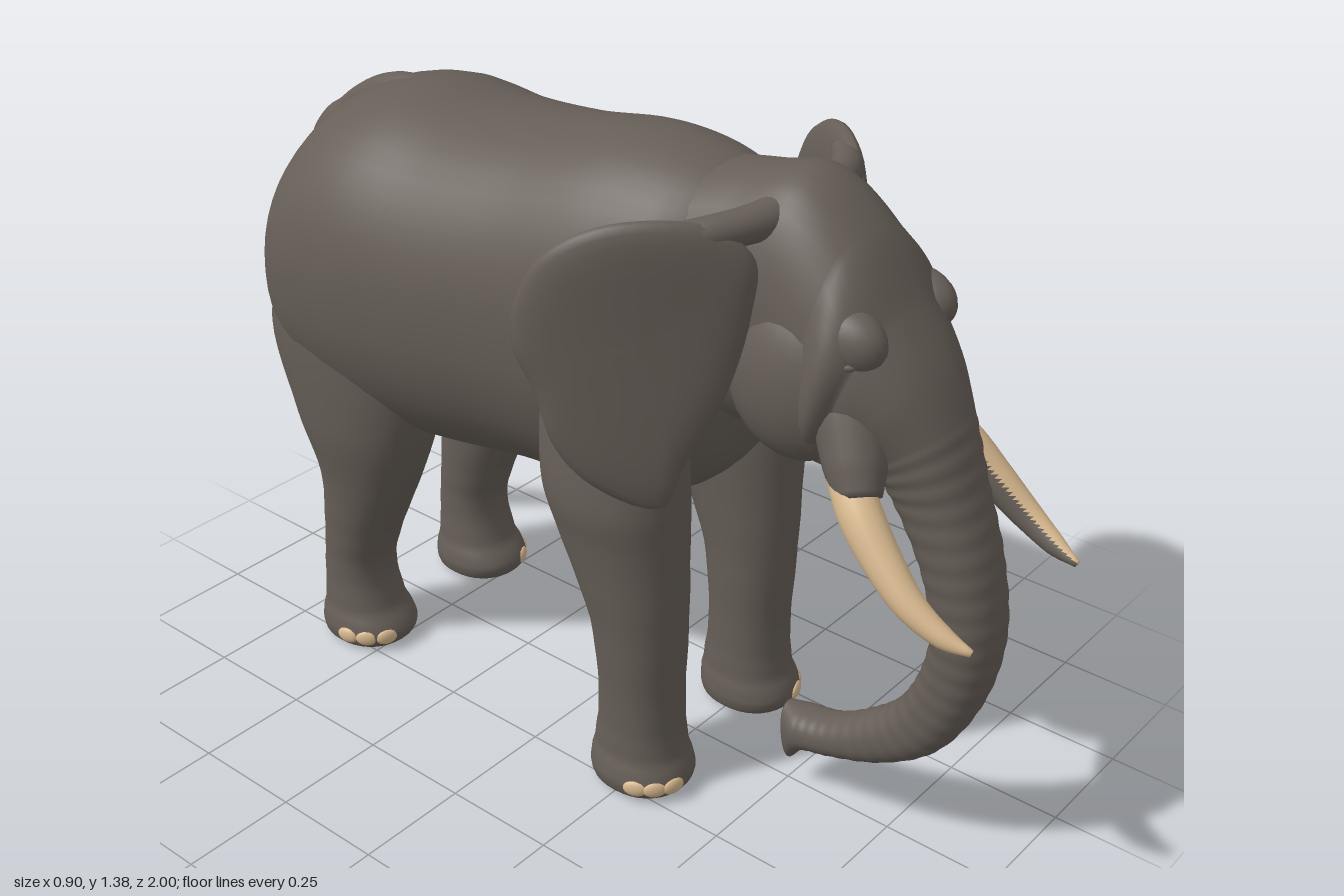
import * as THREE from 'three';

const V = (x, y, z) => new THREE.Vector3(x, y, z);
const curve = (pts) => new THREE.CatmullRomCurve3(pts);

// Skin a list of closed rings; flips the faces if they point inward.
function skinRings(rings) {
  const n = rings[0].length, pos = [], idx = [];
  rings.forEach((r) => r.forEach((p) => pos.push(p.x, p.y, p.z)));
  for (let i = 0; i < rings.length - 1; i++) {
    for (let j = 0; j < n; j++) {
      const k = (j + 1) % n, a = i * n + j, b = i * n + k, c = a + n, d = b + n;
      idx.push(a, c, b, b, c, d);
    }
  }
  const flat = rings.flat();
  let volume = 0;
  for (let i = 0; i < idx.length; i += 3) {
    volume += flat[idx[i]].dot(flat[idx[i + 1]].clone().cross(flat[idx[i + 2]]));
  }
  if (volume < 0) idx.reverse();
  const g = new THREE.BufferGeometry();
  g.setAttribute('position', new THREE.Float32BufferAttribute(pos, 3));
  g.setIndex(idx);
  g.computeVertexNormals();
  return g;
}

// Close both ends of a ring list with a point at the ring centre.
function capped(rings) {
  const collapse = (r) => {
    const c = r.reduce((s, p) => s.add(p), V(0, 0, 0)).divideScalar(r.length);
    return r.map(() => c.clone());
  };
  return [collapse(rings[0]), ...rings, collapse(rings[rings.length - 1])];
}

// Loft through sections [frontZ, frontY, backZ, backY, halfWidth, centreX].
function loft(sections, { side = 1, steps = 6, sides = 36, power = 0.92, ripple = () => 0 } = {}) {
  const A = curve(sections.map((s) => V(0, s[1], s[0])));
  const B = curve(sections.map((s) => V(0, s[3], s[2])));
  const W = curve(sections.map((s) => V(s[4], s[5] || 0, 0)));
  const round = (v) => Math.sign(v) * Math.abs(v) ** power;
  const rings = [], count = (sections.length - 1) * steps;
  for (let i = 0; i <= count; i++) {
    const t = i / count, a = A.getPoint(t), b = B.getPoint(t), w = W.getPoint(t);
    const mid = a.clone().add(b).multiplyScalar(0.5), half = a.sub(b).multiplyScalar(0.5);
    const k = 1 + ripple(t * (sections.length - 1));
    rings.push(Array.from({ length: sides }, (_, j) => {
      const u = (j / sides) * Math.PI * 2;
      const p = mid.clone().addScaledVector(half, round(Math.cos(u)) * k);
      p.x = side * (w.y + w.x * round(Math.sin(u)) * k);
      return p;
    }));
  }
  return skinRings(capped(rings));
}

// Tapered tube through points [x, y, z, radius].
function taper(points, side = 1, sides = 20) {
  const path = curve(points.map((p) => V(p[0] * side, p[1], p[2])));
  const radius = curve(points.map((p) => V(p[3], 0, 0)));
  const n = points.length * 6, f = path.computeFrenetFrames(n);
  const rings = [];
  for (let i = 0; i <= n; i++) {
    const t = path.getUtoTmapping(i / n), c = path.getPoint(t), r = radius.getPoint(t).x;
    rings.push(Array.from({ length: sides }, (_, j) => {
      const u = (j / sides) * Math.PI * 2;
      return c.clone().addScaledVector(f.normals[i], Math.cos(u) * r).addScaledVector(f.binormals[i], Math.sin(u) * r);
    }));
  }
  return skinRings(capped(rings));
}

// Two material groups: 0 for most faces, 1 for those facing along a direction.
function splitFacing(geometry, direction, limit) {
  const idx = geometry.index.array, normal = geometry.attributes.normal, groups = [[], []];
  for (let i = 0; i < idx.length; i += 3) {
    const face = [idx[i], idx[i + 1], idx[i + 2]];
    const sum = face.reduce((s, v) => s.add(V(normal.getX(v), normal.getY(v), normal.getZ(v))), V(0, 0, 0));
    groups[sum.normalize().dot(direction) > limit ? 1 : 0].push(...face);
  }
  geometry.setIndex(groups.flat());
  geometry.addGroup(0, groups[0].length, 0);
  geometry.addGroup(groups[0].length, groups[1].length, 1);
  return geometry;
}

// Thick curved flap from an outline in (z, y), swept outward and backward.
function earGeometry(side) {
  const outline = curve([
    [0.48, 1.15], [0.48, 1.26], [0.42, 1.325], [0.3, 1.33], [0.2, 1.27], [0.15, 1.17], [0.145, 1.08],
    [0.18, 0.99], [0.21, 0.88], [0.27, 0.8], [0.37, 0.75], [0.4, 0.84], [0.45, 0.98],
  ].map(([z, y]) => V(0, y, z)));
  outline.closed = true;
  const centre = V(0, 1.1, 0.33), rings = [], K = 8;
  for (let i = -K; i <= K; i++) {
    const t = Math.sin((1 - Math.abs(i) / K) * Math.PI / 2);
    rings.push(Array.from({ length: 72 }, (_, j) => {
      const p = centre.clone().lerp(outline.getPoint(j / 72), t);
      const d = 0.48 - p.z;
      const mid = 0.17 + 0.81 * d + 0.03 * Math.sin((Math.PI * d) / 0.34);
      const off = Math.sign(i) * 0.028 * Math.sqrt(Math.max(0, 1 - t ** 6));
      p.x = side * (mid + off * 0.8 - 0.012 * (1 - t * t));
      p.z += off * 0.6;
      return p;
    }));
  }
  return skinRings(rings);
}

export function createModel() {
  const skin = new THREE.MeshStandardMaterial({ color: 0x665e57 });
  skin.name = 'greyBrownSkin';
  const ivory = new THREE.MeshStandardMaterial({ color: 0xd8b98f });
  ivory.name = 'ivory';
  const model = new THREE.Group();
  model.name = 'elephant';
  const add = (name, geometry, material = skin) => {
    const m = new THREE.Mesh(geometry, material);
    m.name = name;
    model.add(m);
    return m;
  };
  const blob = (name, x, y, z, rx, ry, rz, material) => {
    const m = add(name, new THREE.SphereGeometry(1, 24, 16), material);
    m.position.set(x, y, z);
    m.scale.set(rx, ry, rz);
    return m;
  };

  // Barrel body, chest to rump: [z, top, bottom, halfWidth]
  add('body', loft([
    [0.4, 1.25, 0.82, 0.1], [0.34, 1.33, 0.72, 0.19], [0.25, 1.36, 0.64, 0.25], [0.1, 1.37, 0.6, 0.28],
    [-0.1, 1.34, 0.59, 0.305], [-0.3, 1.325, 0.565, 0.335], [-0.48, 1.335, 0.55, 0.35], [-0.62, 1.3, 0.57, 0.34],
    [-0.73, 1.21, 0.63, 0.29], [-0.8, 1.09, 0.72, 0.195], [-0.825, 0.98, 0.83, 0.08],
  ].map(([z, top, bottom, w]) => [z, top, z, bottom, w]), { sides: 48, power: 0.92 }));
  blob('bellyFold', 0, 0.575, -0.33, 0.05, 0.06, 0.09);

  // Head running down into the wrinkled trunk
  add('headAndTrunk', loft([
    [0.2, 1.33, 0.2, 0.8, 0.21], [0.38, 1.365, 0.36, 0.84, 0.175], [0.5, 1.383, 0.46, 0.85, 0.165],
    [0.62, 1.3, 0.55, 0.85, 0.17], [0.71, 1.17, 0.61, 0.86, 0.17], [0.78, 1.07, 0.65, 0.87, 0.145],
    [0.83, 0.97, 0.68, 0.86, 0.115], [0.88, 0.84, 0.72, 0.81, 0.095], [0.93, 0.7, 0.79, 0.68, 0.084],
    [0.955, 0.55, 0.82, 0.55, 0.075], [0.93, 0.4, 0.8, 0.43, 0.066], [0.855, 0.26, 0.75, 0.33, 0.06],
    [0.74, 0.175, 0.68, 0.265, 0.055], [0.62, 0.13, 0.6, 0.215, 0.052], [0.55, 0.11, 0.53, 0.2, 0.053],
    [0.51, 0.065, 0.49, 0.2, 0.035],
  ], { steps: 16, power: 0.87, ripple: (s) => (s > 6 && s < 14 ? 0.012 * Math.sin(s * Math.PI * 6) : 0) }));
  add('lowerJaw', loft([
    [0.42, 1.0, 0.42, 0.87, 0.13], [0.52, 0.96, 0.5, 0.835, 0.12],
    [0.62, 0.92, 0.6, 0.805, 0.08], [0.68, 0.88, 0.67, 0.785, 0.035],
  ]));

  // Tail lying over the rump, with a tufted tip
  add('tail', taper([
    [0, 1.3, -0.45, 0.03], [0, 1.285, -0.6, 0.036], [0, 1.2, -0.735, 0.042], [0, 1.06, -0.83, 0.042],
    [0, 0.95, -0.87, 0.038], [0, 0.85, -0.862, 0.028], [0, 0.73, -0.875, 0.027], [0, 0.66, -0.92, 0.034],
    [0, 0.6, -0.962, 0.037], [0, 0.52, -0.965, 0.024], [0, 0.42, -0.955, 0.005],
  ]));

  // Leg sections: [y, frontZ, backZ, halfWidth, centreX]
  const legs = {
    front: [
      [1.0, 0.28, 0.05, 0.08, 0.18], [0.85, 0.33, 0.02, 0.115, 0.195], [0.7, 0.345, 0.03, 0.125, 0.2],
      [0.6, 0.345, 0.06, 0.115, 0.195], [0.4, 0.345, 0.14, 0.095, 0.19], [0.2, 0.34, 0.16, 0.086, 0.187],
      [0.1, 0.35, 0.15, 0.09, 0.187], [0.045, 0.37, 0.143, 0.101, 0.19], [0.015, 0.36, 0.15, 0.095, 0.19],
      [0.003, 0.33, 0.175, 0.073, 0.19],
    ],
    hind: [
      [1.05, -0.36, -0.72, 0.09, 0.18], [0.8, -0.32, -0.785, 0.135, 0.19], [0.6, -0.36, -0.72, 0.123, 0.195],
      [0.45, -0.42, -0.665, 0.1, 0.192], [0.3, -0.49, -0.67, 0.086, 0.19], [0.2, -0.52, -0.68, 0.08, 0.19],
      [0.1, -0.5, -0.685, 0.088, 0.19], [0.045, -0.467, -0.695, 0.101, 0.19], [0.015, -0.477, -0.69, 0.095, 0.19],
      [0.003, -0.51, -0.665, 0.073, 0.19],
    ],
  };
  const toes = { front: { z: 0.257, angles: [0.3, 0.7, 1.1] }, hind: { z: -0.581, angles: [0.45, 0.9, 1.35] } };

  for (const [label, s] of [['left', 1], ['right', -1]]) {
    for (const end of ['front', 'hind']) {
      add(`${label}${end}Leg`, loft(
        legs[end].map(([y, f, b, w, x]) => [f, y, b, y, w, x]),
        { side: s, ripple: (t) => (t > 3 && t < 7 ? 0.006 * Math.sin(t * 9) : 0) }));
      // Toenails around the outer front of each foot
      for (const angle of toes[end].angles) {
        const nail = blob(`${label}${end}Toenail`, s * (0.19 + 0.098 * Math.sin(angle)), 0.04,
          toes[end].z + 0.109 * Math.cos(angle), 0.026, 0.019, 0.01, ivory);
        nail.rotation.y = s * angle;
      }
    }
    // Ear and the fold joining it to the crown
    add(`${label}Ear`, earGeometry(s));
    add(`${label}EarRoot`, taper([
      [0.06, 1.31, 0.47, 0.04], [0.14, 1.305, 0.45, 0.036], [0.22, 1.3, 0.41, 0.033], [0.3, 1.295, 0.34, 0.02],
    ], s));
    // Low swellings of the face
    blob(`${label}Brow`, s * 0.115, 1.13, 0.645, 0.052, 0.065, 0.085);
    blob(`${label}Eyelid`, s * 0.148, 1.1, 0.665, 0.018, 0.012, 0.028);
    blob(`${label}Cheek`, s * 0.1, 1.02, 0.54, 0.095, 0.17, 0.15);
    // Tusk and the fleshy socket it grows from
    add(`${label}TuskSocket`, taper([
      [0.07, 1.1, 0.6, 0.05], [0.105, 0.99, 0.655, 0.068], [0.14, 0.905, 0.7, 0.06], [0.165, 0.855, 0.728, 0.043],
    ], s));
    const tusk = taper([
      [0.15, 0.89, 0.69, 0.04], [0.177, 0.835, 0.74, 0.042], [0.196, 0.765, 0.81, 0.037],
      [0.205, 0.71, 0.875, 0.03], [0.2, 0.67, 0.945, 0.021], [0.19, 0.655, 0.997, 0.007],
    ], s);
    // Skin colour runs along the inner underside of the tusk
    add(`${label}Tusk`, splitFacing(tusk, V(-s, -0.35, 0).normalize(), 0.5), [ivory, skin]);
  }
  return model;
}
